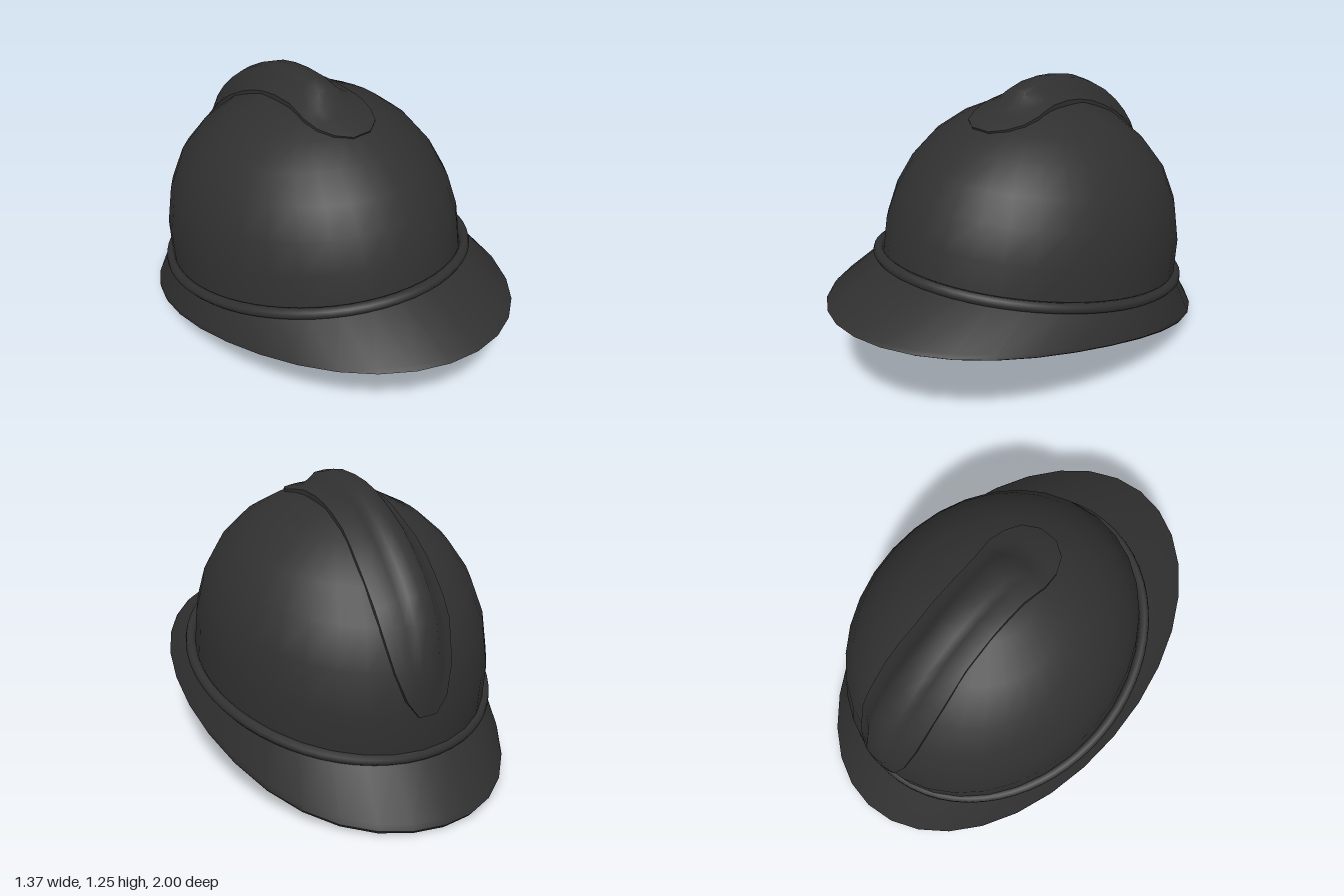
import * as THREE from 'three';
import { toCreasedNormals } from 'three/addons/utils/BufferGeometryUtils.js';

const SEGMENTS = 32;

// Skin a grid of points: rows of equal length, each an array of [x, y, z].
function loft(rows, crease) {
  const n = rows[0].length, index = [];
  for (let i = 0; i < rows.length - 1; i++) {
    for (let j = 0; j < n - 1; j++) {
      const a = i * n + j, b = a + 1, d = a + n, c = d + 1;
      index.push(a, b, c, a, c, d);
    }
  }
  const geo = new THREE.BufferGeometry();
  geo.setAttribute('position', new THREE.Float32BufferAttribute(rows.flat(2), 3));
  geo.setIndex(index);
  return toCreasedNormals(geo, crease);
}

// Tilted oval from its front (z, y), back (z, y), half width and height at the sides.
// The twist lowers the rear half of the side line into a gentle S.
function ring([zF, yF, zB, yB, w, yS, twist = 0]) {
  const points = [], mid = (yF + yB) / 2;
  for (let j = 0; j <= SEGMENTS; j++) {
    const a = (j / SEGMENTS) * Math.PI * 2, s = Math.sin(a), c = Math.cos(a);
    const sag = yS - mid + twist * (c - 1.2 * c * c);
    points.push([w * s, mid + ((yF - yB) / 2) * c + sag * s * s,
      (zF + zB) / 2 + ((zF - zB) / 2) * c]);
  }
  return points;
}

export function createModel() {
  const model = new THREE.Group();
  model.name = 'helmet';
  const paint = new THREE.MeshStandardMaterial({ color: 0x303030 });
  paint.name = 'charcoal paint';
  const add = (name, geo) => {
    const mesh = new THREE.Mesh(geo, paint);
    mesh.name = name;
    model.add(mesh);
  };

  // Dome, from the rim up to the crown
  const dome = [
    [0.66, 0.57, -0.82, 0.24, 0.62, 0.385],
    [0.63, 0.72, -0.84, 0.43, 0.617, 0.56],
    [0.57, 0.84, -0.81, 0.62, 0.59, 0.72],
    [0.49, 0.95, -0.75, 0.78, 0.53, 0.86],
    [0.37, 1.05, -0.64, 0.92, 0.45, 0.97],
    [0.24, 1.115, -0.49, 1.05, 0.345, 1.06],
    [0.1, 1.155, -0.31, 1.14, 0.2, 1.135],
    [-0.1, 1.18, -0.1, 1.18, 0, 1.18],
  ];
  add('dome', loft(dome.map(ring), 0.9));

  // Brim and inner bowl: bowl centre outward, rounded edge, then the upper side
  const brim = [
    [-0.06, 0.77, -0.06, 0.77, 0, 0.77],
    [0.16, 0.725, -0.28, 0.67, 0.2, 0.71],
    [0.4, 0.65, -0.53, 0.47, 0.42, 0.555],
    [0.65, 0.55, -0.79, 0.215, 0.59, 0.365],
    [0.99, 0.435, -0.985, 0.002, 0.677, 0.25, 0.05],
    [1.0, 0.442, -1.0, 0.02, 0.687, 0.26, 0.05],
    [0.98, 0.453, -0.987, 0.042, 0.682, 0.28, 0.05],
    [0.68, 0.565, -0.82, 0.24, 0.632, 0.385],
  ];
  add('brim', loft(brim.map(ring), 1));

  // Rolled band where dome meets brim
  const path = ring([0.68, 0.572, -0.817, 0.245, 0.637, 0.397]).slice(0, -1)
    .map((p) => new THREE.Vector3(...p));
  add('band', new THREE.TubeGeometry(
    new THREE.CatmullRomCurve3(path, true), 64, 0.024, 8, true));

  // Raised crest: centre line (z, y), half width and height above the dome
  const spine = [
    [0.268, 1.1, 0.03, -0.03], [0.262, 1.105, 0.045, 0.008],
    [0.22, 1.122, 0.11, 0.012], [0.15, 1.142, 0.145, 0.013],
    [0.07, 1.163, 0.155, 0.02], [0.03, 1.17, 0.15, 0.058],
    [-0.05, 1.178, 0.14, 0.07], [-0.15, 1.177, 0.14, 0.073],
    [-0.23, 1.163, 0.14, 0.08], [-0.31, 1.14, 0.142, 0.085],
    [-0.4, 1.1, 0.143, 0.086], [-0.49, 1.05, 0.152, 0.085],
    [-0.57, 0.988, 0.157, 0.085], [-0.64, 0.92, 0.158, 0.085],
    [-0.7, 0.855, 0.158, 0.078], [-0.75, 0.78, 0.155, 0.07],
    [-0.81, 0.62, 0.13, 0.05], [-0.836, 0.5, 0.09, 0.018],
    [-0.84, 0.43, 0.04, 0.008], [-0.838, 0.41, 0.025, -0.03],
  ];
  // Half cross-section: fraction of width, fraction of height
  const half = [[1, 0], [0.75, 0.14], [0.5, 0.52], [0.32, 0.92]];
  const section = [
    ...half.map(([u, f]) => [-u, f]), [0, 1], ...half.slice().reverse()];
  const crest = spine.map(([z, y, w, h], i) => {
    const p = spine[Math.max(i - 1, 0)], q = spine[Math.min(i + 1, spine.length - 1)];
    const len = Math.hypot(q[0] - p[0], q[1] - p[1]);
    const nz = (q[1] - p[1]) / len, ny = (p[0] - q[0]) / len;
    const lip = Math.min(h, 0.012);
    const at = (x, v) => [x, y + ny * v, z + nz * v];
    return [
      at(-w, -0.05),
      ...section.map(([u, f]) => at(u * w, lip + f * (h - lip) - (u * w) ** 2)),
      at(w, -0.05),
    ];
  });
  add('crest', loft(crest, 0.75));

  return model;
}
